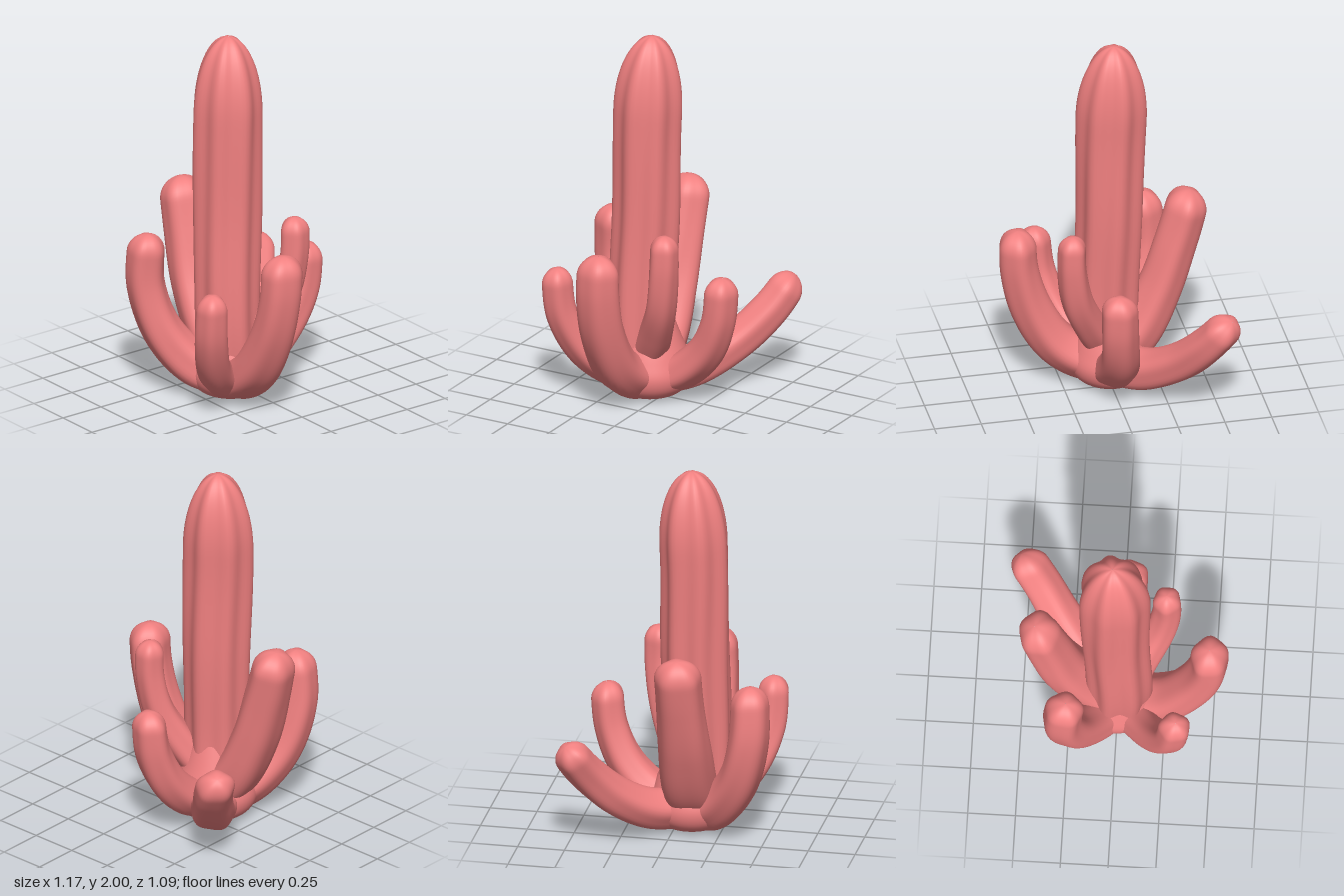
import * as THREE from 'three';

const material = new THREE.MeshStandardMaterial({ color: 0xf08080 });
const UP = new THREE.Vector3(0, 1, 0);

// Ribbed stem swept along a curve, with rounded ends.
function stem({ name, points, radius, ribs, depth, flare, cap = radius * 1.1, phase = 0, wide = 1 }) {
  const curve = new THREE.CatmullRomCurve3(points.map((p) => new THREE.Vector3(...p)));
  curve.arcLengthDivisions = 400;
  const length = curve.getLength();
  const first = curve.getPointAt(0), last = curve.getPointAt(1);
  const out = new THREE.Vector3(last.x - first.x, 0, last.z - first.z);
  if (out.length() < 0.1) out.set(0, 0, 1);
  const side = new THREE.Vector3().crossVectors(UP, out.normalize());
  const rows = 56, cols = ribs * 8, pos = [], index = [];
  for (let i = 0; i <= rows; i++) {
    // rows crowd together towards both ends to keep the caps round
    const t = (1 - Math.cos((Math.PI * i) / rows)) / 2;
    const p = curve.getPointAt(t), tangent = curve.getTangentAt(t);
    const n = new THREE.Vector3().crossVectors(tangent, side).normalize();
    const round = (d, c) => (d >= c ? 1 : Math.sqrt(Math.max(0, 1 - (1 - d / c) ** 2)));
    const end = round((1 - t) * length, cap) * round(t * length, radius);
    const r = Math.max(0.001, radius * end * (1 + flare * (1 - t) ** 1.5));
    for (let j = 0; j < cols; j++) {
      const a = (j / cols) * Math.PI * 2;
      const wobble = 0.02 * Math.sin(a * 2 + t * 9 + phase);
      const k = r * (1 + depth * Math.cos(ribs * a + phase + 0.4 * Math.sin(t * 5)) + wobble);
      const v = p.clone().addScaledVector(side, k * wide * Math.cos(a)).addScaledVector(n, k * Math.sin(a));
      pos.push(v.x, Math.max(0, v.y), v.z);
      if (i < rows) {
        const b = i * cols + ((j + 1) % cols), c = i * cols + j;
        index.push(c, b, b + cols, c, b + cols, c + cols);
      }
    }
  }
  const geometry = new THREE.BufferGeometry();
  geometry.setAttribute('position', new THREE.Float32BufferAttribute(pos, 3));
  geometry.setIndex(index);
  geometry.computeVertexNormals();
  const mesh = new THREE.Mesh(geometry, material);
  mesh.name = name;
  return mesh;
}

export function createModel() {
  const group = new THREE.Group();
  group.name = 'cactus';

  // tall central trunk
  group.add(stem({
    name: 'trunk', radius: 0.178, ribs: 7, depth: 0.065, cap: 0.42, flare: -0.1, phase: 0.6,
    points: [[-0.01, 0.02, 0.09], [0.005, 0.4, 0.115], [-0.012, 1, 0.1], [-0.02, 1.5, 0.098], [-0.03, 2, 0.08]],
  }));

  // curved arms around the trunk, each from its root to its tip
  const arms = [
    { name: 'leftArm', radius: 0.098, wide: 1.12,
      points: [[-0.02, 0.12, 0.1], [0.12, 0.135, 0.11], [0.27, 0.235, 0.12], [0.405, 0.46, 0.12], [0.472, 0.7, 0.115], [0.48, 0.93, 0.11]] },
    { name: 'frontLeftArm', radius: 0.08,
      points: [[-0.02, 0.12, 0.08], [0.085, 0.135, 0.2], [0.195, 0.25, 0.34], [0.29, 0.47, 0.435], [0.322, 0.74, 0.455]] },
    { name: 'frontRightArm', radius: 0.096, wide: 1.05,
      points: [[0, 0.12, 0.08], [-0.1, 0.15, 0.22], [-0.21, 0.33, 0.36], [-0.272, 0.6, 0.435], [-0.255, 0.9, 0.44]] },
    { name: 'rightArm', radius: 0.106, wide: 1.15,
      points: [[0.03, 0.13, 0.09], [-0.14, 0.27, 0.09], [-0.275, 0.52, 0.095], [-0.365, 0.8, 0.09], [-0.44, 1.085, 0.085]] },
    { name: 'backRightArm', radius: 0.092, wide: 1.08,
      points: [[0.01, 0.12, 0.08], [-0.16, 0.14, -0.1], [-0.31, 0.255, -0.265], [-0.43, 0.42, -0.4], [-0.54, 0.595, -0.49]] },
    { name: 'backArm', radius: 0.085, wide: 1.08,
      points: [[0, 0.12, 0.08], [0, 0.16, -0.1], [0.01, 0.3, -0.26], [0.03, 0.5, -0.355], [0.04, 0.75, -0.385]] },
    { name: 'backLeftArm', radius: 0.073,
      points: [[0.03, 0.22, 0.07], [0.125, 0.4, -0.03], [0.205, 0.59, -0.11], [0.24, 0.8, -0.145], [0.24, 1.01, -0.15]] },
  ];
  arms.forEach((arm, i) => group.add(stem({ ribs: 5, depth: 0.045, flare: 0.3, phase: i * 1.3, ...arm })));

  // flat-bottomed mound that fills the gaps where the arms join
  const profile = new THREE.SplineCurve([
    [0.001, 0.004], [0.13, 0.012], [0.2, 0.06], [0.225, 0.14], [0.2, 0.23], [0.165, 0.32], [0.12, 0.44],
  ].map((p) => new THREE.Vector2(...p)));
  const base = new THREE.Mesh(new THREE.LatheGeometry(profile.getPoints(30), 48), material);
  base.name = 'base';
  base.position.set(-0.01, 0, 0.08);
  group.add(base);

  return group;
}
